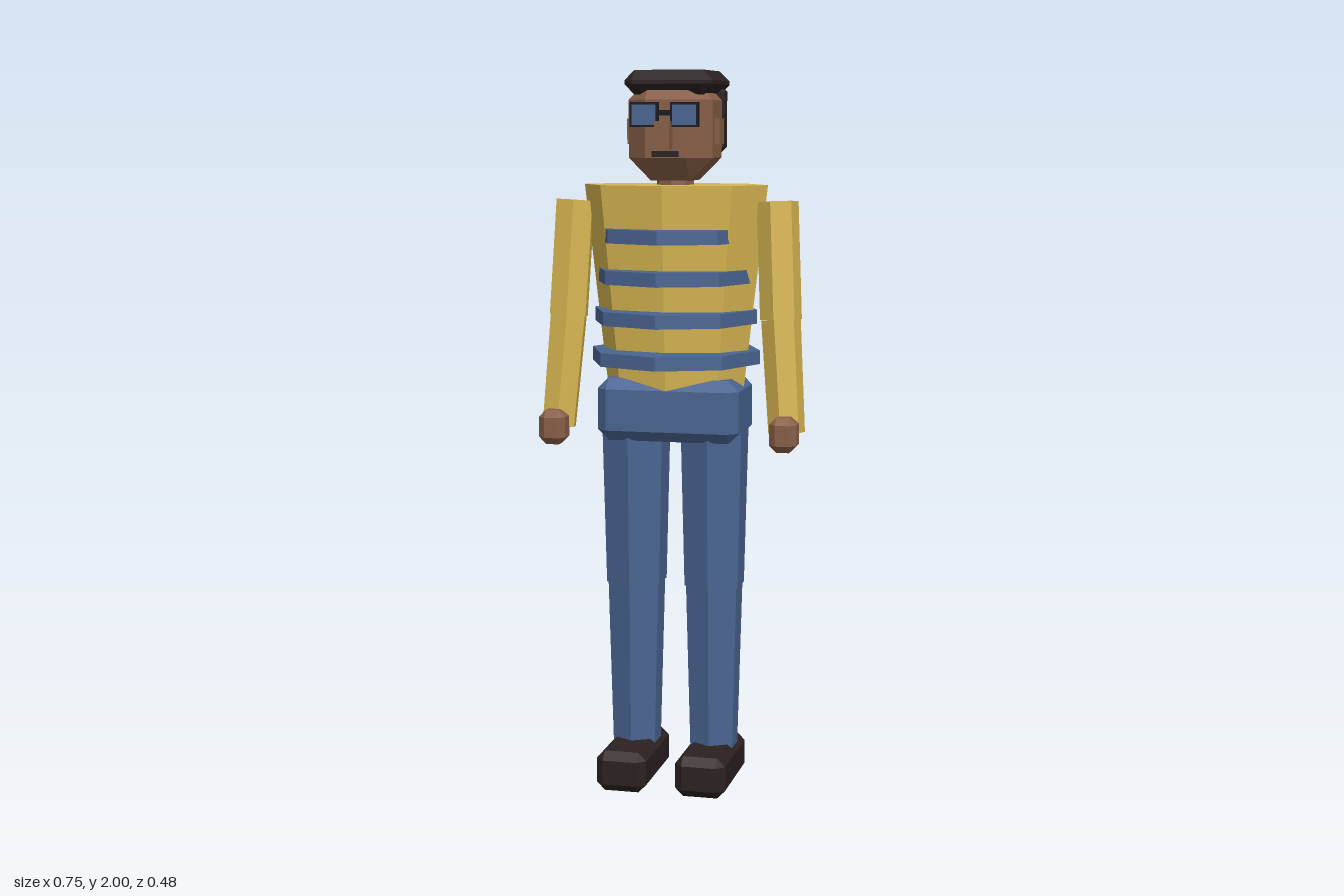
import * as THREE from 'three';
import { ConvexGeometry } from 'three/addons/geometries/ConvexGeometry.js';

const paint = (name, hex) => {
  const m = new THREE.MeshStandardMaterial({ color: hex, flatShading: true });
  m.name = name;
  return m;
};

// Box with every edge cut off by c
function chamferBox(w, h, d, c) {
  const pts = [];
  const x = w / 2, y = h / 2, z = d / 2;
  for (const i of [-1, 1]) for (const j of [-1, 1]) for (const k of [-1, 1]) {
    pts.push(
      new THREE.Vector3(i * x, j * (y - c), k * (z - c)),
      new THREE.Vector3(i * (x - c), j * y, k * (z - c)),
      new THREE.Vector3(i * (x - c), j * (y - c), k * z));
  }
  return new ConvexGeometry(pts);
}

// Six-sided tapered limb from point a (top) to point b (bottom)
function limb(a, b, ra, rb, yaw = 0) {
  const top = new THREE.Vector3(...a), bottom = new THREE.Vector3(...b);
  const axis = top.clone().sub(bottom);
  const geo = new THREE.CylinderGeometry(ra, rb, axis.length(), 6);
  geo.rotateY(yaw);
  geo.applyQuaternion(new THREE.Quaternion().setFromUnitVectors(
    new THREE.Vector3(0, 1, 0), axis.normalize()));
  const mid = top.add(bottom).multiplyScalar(0.5);
  return geo.translate(mid.x, mid.y, mid.z);
}

export function createModel() {
  const model = new THREE.Group();
  model.name = 'standingMan';

  const yellow = paint('yellowSweater', 0xd6b550);
  const denim = paint('blueDenim', 0x4a6592);
  const skin = paint('brownSkin', 0x885f48);
  const dark = paint('darkHairAndShoes', 0x2c2121);
  const black = paint('blackFrame', 0x17181d);

  const add = (name, geo, mat, x = 0, y = 0, z = 0) => {
    const mesh = new THREE.Mesh(geo, mat);
    mesh.name = name;
    mesh.position.set(x, y, z);
    model.add(mesh);
    return mesh;
  };
  const box = (w, h, d) => new THREE.BoxGeometry(w, h, d);

  // Sweater body, an oval octagon narrowing to the waist
  const torso = new THREE.CylinderGeometry(0.16, 0.118, 0.59, 8).scale(1.625, 1, 1);
  add('torso', torso, yellow, 0, 1.395, 0);

  // Sweater stripes, round octagons that stick out front and back
  for (let i = 0; i < 4; i++) {
    const r = 0.24 - i * 0.008;
    add('stripe', new THREE.CylinderGeometry(r, r, 0.038, 8), denim, 0, 1.217 + i * 0.112, 0);
  }

  add('hips', chamferBox(0.4, 0.175, 0.24, 0.03), denim, 0, 1.072, 0);

  for (const s of [-1, 1]) {
    const side = s > 0 ? 'left' : 'right';
    const x = s * 0.113;

    // Legs and shoes
    add(side + 'Thigh', limb([x, 1.04, 0], [x, 0.57, 0], 0.1, 0.088), denim);
    add(side + 'Shin', limb([x, 0.585, 0], [x, 0.09, 0], 0.084, 0.07), denim);
    add(side + 'Shoe', chamferBox(0.143, 0.115, 0.31, 0.023), dark, x, 0.0575, 0.045);

    // Arms and hands
    const elbow = [s * 0.303, 1.325, 0.022];
    const yaw = -s * 0.17;
    add(side + 'UpperArm', limb([s * 0.287, 1.645, 0], elbow, 0.058, 0.058, yaw), yellow);
    add(side + 'Forearm', limb(elbow, [s * 0.326, 1.015, 0.047], 0.055, 0.051, yaw), yellow);
    add(side + 'Hand', chamferBox(0.076, 0.097, 0.08, 0.02), skin, s * 0.327, 1.018, 0.093);

    // Ear
    add(side + 'Ear', box(0.03, 0.07, 0.055), skin, s * 0.115, 1.835, 0);

    // Glasses, one frame with a thin lens plate per eye
    add(side + 'GlassesFrame', box(0.078, 0.066, 0.013), black, s * 0.056, 1.88, 0.1265);
    add(side + 'Lens', box(0.066, 0.054, 0.004), denim, s * 0.056, 1.88, 0.134);
  }
  add('glassesBridge', box(0.04, 0.014, 0.012), black, 0, 1.885, 0.1265);

  // Neck and head
  add('neck', new THREE.CylinderGeometry(0.05, 0.055, 0.12, 8), skin, 0, 1.69, 0);
  add('head', chamferBox(0.235, 0.28, 0.24, 0.062), skin, 0, 1.842, 0);
  add('nose', box(0.042, 0.075, 0.045), skin, 0, 1.825, 0.1365);
  add('mouth', box(0.074, 0.015, 0.012), dark, 0, 1.775, 0.118);

  // Hair: flat cap on top and a block down the back
  add('hairTop', chamferBox(0.246, 0.066, 0.268, 0.028), dark, 0, 1.967, -0.024);
  add('hairBack', chamferBox(0.236, 0.18, 0.06, 0.014), dark, 0, 1.868, -0.109);

  return model;
}
